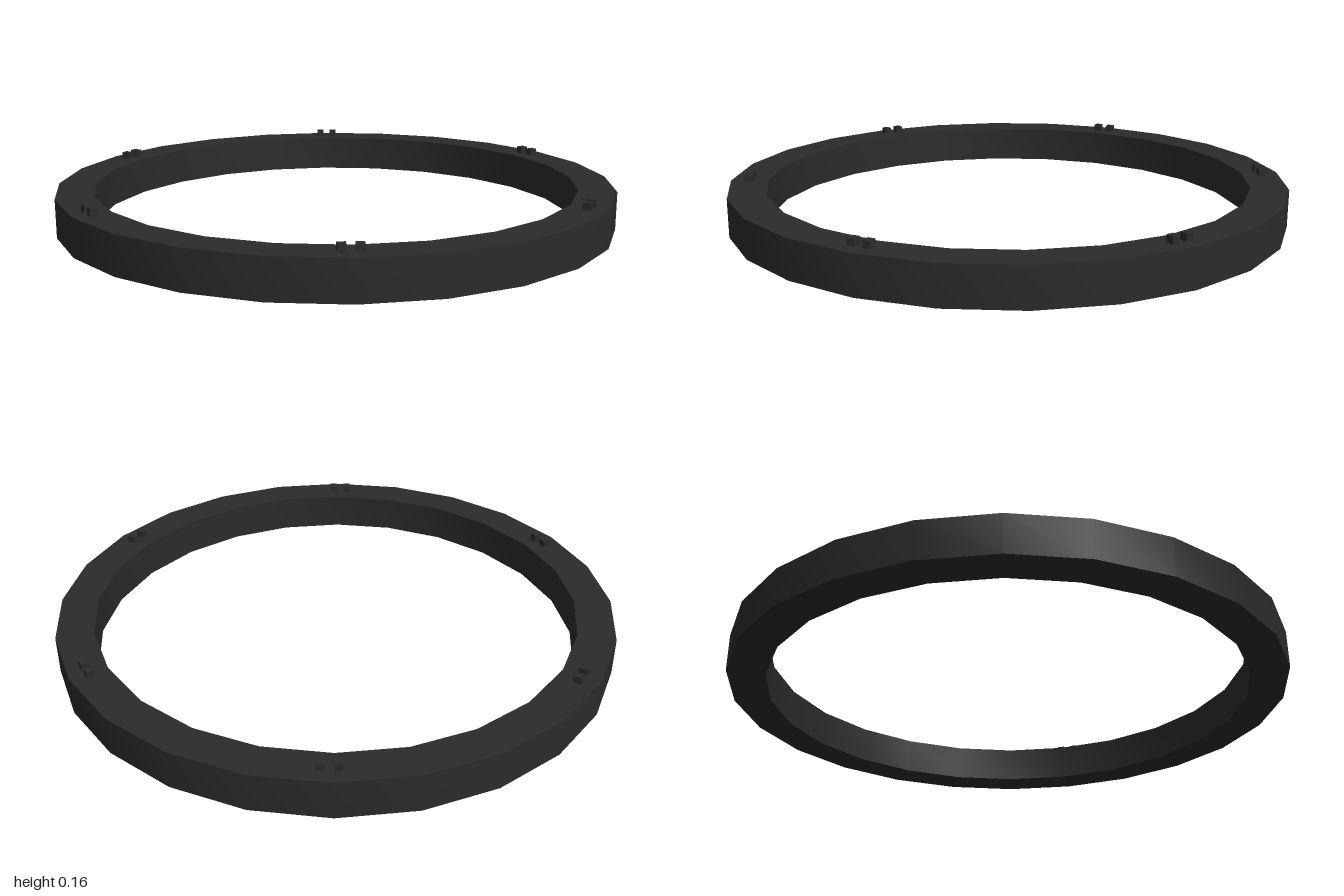
import * as THREE from 'three';
import { toCreasedNormals } from 'three/addons/utils/BufferGeometryUtils.js';

const OUTER = 1, INNER = 0.867, HEIGHT = 0.135;

export function createModel() {
  const model = new THREE.Group();
  const charcoal = new THREE.MeshStandardMaterial({ color: 0x2b2b2b });
  charcoal.name = 'charcoal';

  // Ring band: closed rectangular profile swept in 24 steps, smooth round the sides
  const profile = [[OUTER, 0], [OUTER, HEIGHT], [INNER, HEIGHT], [INNER, 0], [OUTER, 0]]
    .map(([r, y]) => new THREE.Vector2(r, y));
  const band = new THREE.Mesh(
    toCreasedNormals(new THREE.LatheGeometry(profile, 24), 0.6), charcoal);
  band.name = 'ringBand';
  model.add(band);

  // Six pairs of small tabs on the top face, each pair slightly off centre
  const tabGeometry = new THREE.BoxGeometry(0.027, 0.035, 0.03);
  for (let i = 0; i < 6; i++) {
    const pair = new THREE.Group();
    pair.name = 'tabPair' + (i + 1);
    for (const x of [-0.04, 0.014]) {
      const tab = new THREE.Mesh(tabGeometry, charcoal);
      tab.name = 'tab';
      tab.position.set(x, 0.1425, 0.933);
      pair.add(tab);
    }
    pair.rotation.y = i * Math.PI / 3;
    model.add(pair);
  }
  return model;
}
